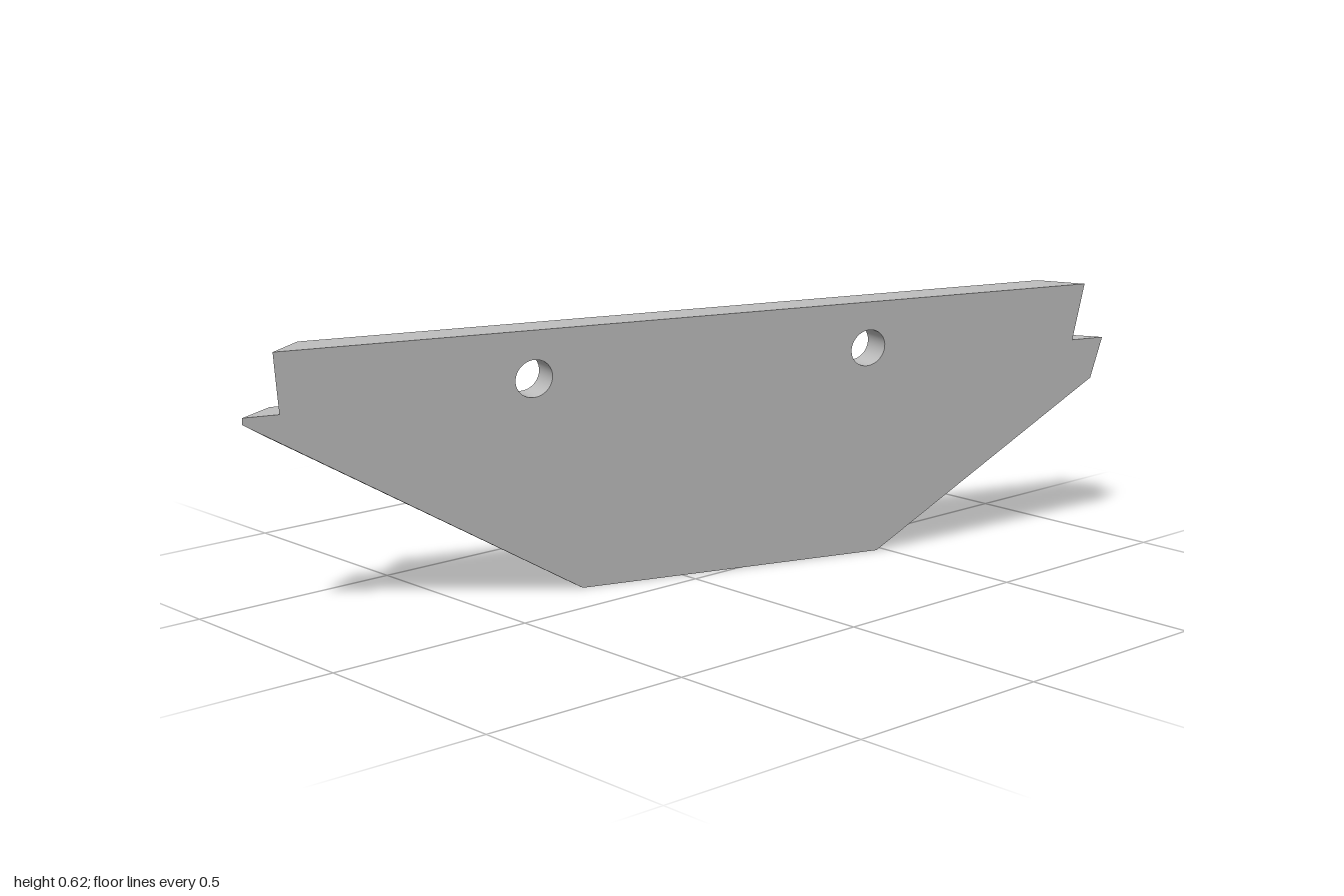
import * as THREE from 'three';

const YAW = THREE.MathUtils.degToRad(18);
// Depth of the two leaning faces: the plate tapers towards its lower edge.
const frontDepth = (y) => -0.043 + 0.147 * y;
const backDepth = (y) => -0.089 + 0.07 * y;

// Outlines as [x, y], counter-clockwise from the front, starting at lower left.
const FRONT = [[-0.235, 0], [0.48, 0], [0.985, 0.38], [1, 0.48], [0.92, 0.48],
  [0.93, 0.617], [-0.945, 0.617], [-0.925, 0.48], [-1, 0.48], [-1, 0.465]];
const BACK = [[-0.228, 0], [0.489, 0], [0.951, 0.335], [0.949, 0.48], [0.888, 0.48],
  [0.886, 0.617], [-0.843, 0.617], [-0.836, 0.48], [-0.9, 0.48], [-0.898, 0.41]];
const HOLES = [-0.398, 0.422];
const HOLE_Y = 0.507, HOLE_R = 0.043, HOLE_SEGMENTS = 40;

// Converts an outline to the plate's own axes (along its length, up).
const toPlate = (outline, depth) => outline.map(([x, y]) =>
  new THREE.Vector2(x / Math.cos(YAW) + depth(y) * Math.sin(YAW), y));

// Clockwise ring of points for one bolt hole.
function holeRing(u) {
  const ring = [];
  for (let i = 0; i < HOLE_SEGMENTS; i++) {
    const a = -i / HOLE_SEGMENTS * Math.PI * 2;
    ring.push(new THREE.Vector2(u + HOLE_R * Math.cos(a), HOLE_Y + HOLE_R * Math.sin(a)));
  }
  return ring;
}

// Pierced face laid onto its leaning plane.
function faceGeometry(points, depth, flip) {
  const shape = new THREE.Shape(points);
  HOLES.forEach((u) => shape.holes.push(new THREE.Path(holeRing(u))));
  const geo = new THREE.ShapeGeometry(shape);
  const pos = geo.attributes.position;
  for (let i = 0; i < pos.count; i++) pos.setZ(i, depth(pos.getY(i)) * Math.cos(YAW));
  if (flip) geo.index.array.reverse();
  geo.computeVertexNormals();
  return geo;
}

// Wall joining a front loop to a back loop.
function wallGeometry(front, back, smooth) {
  const n = front.length, pos = [], index = [];
  front.forEach((p) => pos.push(p.x, p.y, frontDepth(p.y) * Math.cos(YAW)));
  back.forEach((p) => pos.push(p.x, p.y, backDepth(p.y) * Math.cos(YAW)));
  for (let i = 0; i < n; i++) {
    const j = (i + 1) % n;
    index.push(i, n + i, n + j, i, n + j, j);
  }
  let geo = new THREE.BufferGeometry();
  geo.setAttribute('position', new THREE.Float32BufferAttribute(pos, 3));
  geo.setIndex(index);
  if (!smooth) geo = geo.toNonIndexed();
  geo.computeVertexNormals();
  return geo;
}

export function createModel() {
  const model = new THREE.Group();
  model.name = 'notchedPlate';
  const steel = new THREE.MeshStandardMaterial({ color: 0xbfbfbf });
  steel.name = 'grey steel';

  const plate = new THREE.Group();
  plate.name = 'plate';
  plate.rotation.y = -YAW;
  model.add(plate);
  const add = (name, geo) => {
    const mesh = new THREE.Mesh(geo, steel);
    mesh.name = name;
    plate.add(mesh);
  };

  const front = toPlate(FRONT, frontDepth);
  const back = toPlate(BACK, backDepth);
  add('frontFace', faceGeometry(front, frontDepth, false));
  add('backFace', faceGeometry(back, backDepth, true));
  add('bevelledRim', wallGeometry(front, back, false));

  // Bolt hole walls
  HOLES.forEach((u, i) => {
    const ring = holeRing(u);
    add(i ? 'leftBoltHole' : 'rightBoltHole', wallGeometry(ring, ring, true));
  });
  return model;
}
